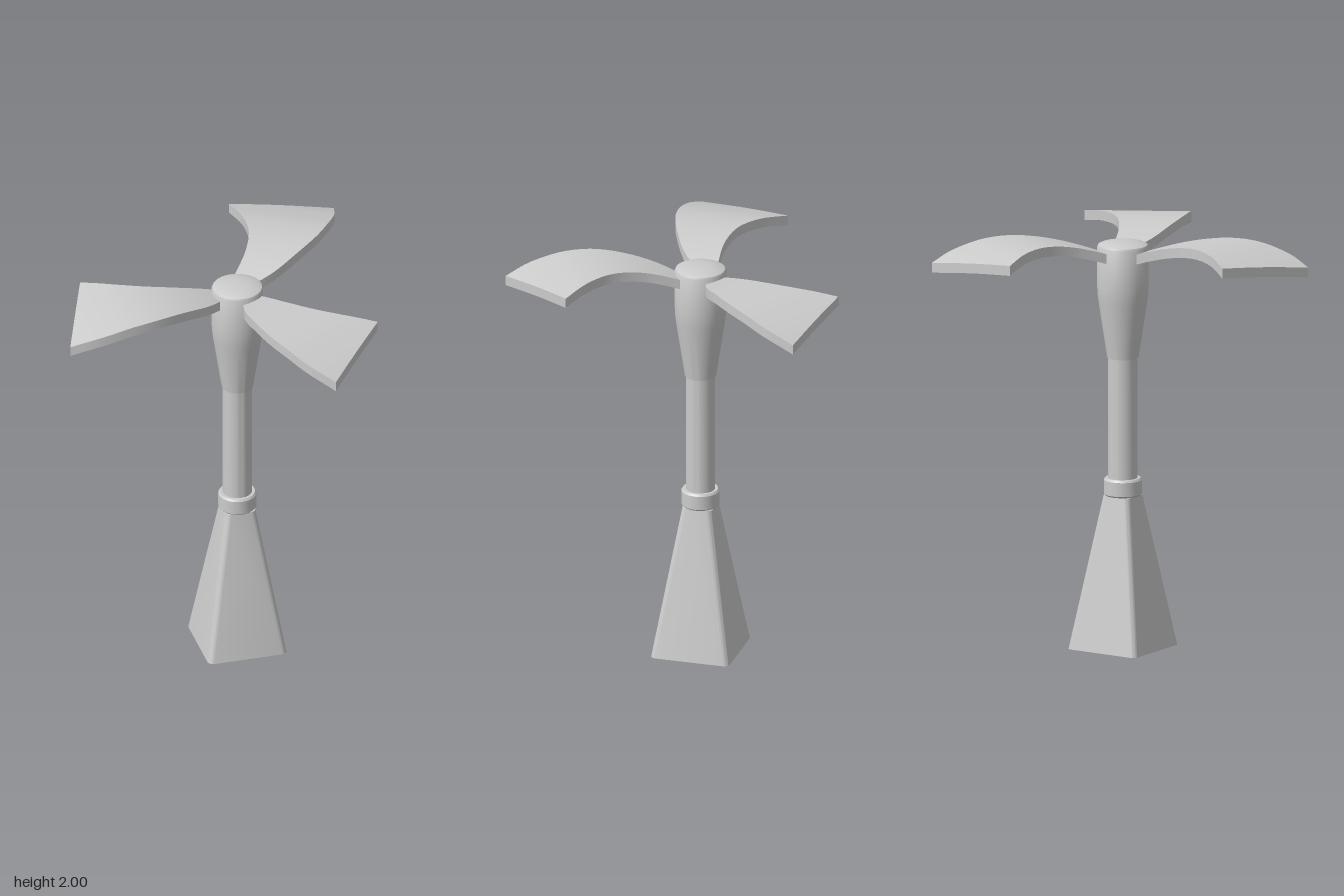
import * as THREE from 'three';
import { toCreasedNormals } from 'three/addons/utils/BufferGeometryUtils.js';

const material = new THREE.MeshStandardMaterial({ color: 0xcccccc });

function addMesh(parent, name, geometry) {
  const mesh = new THREE.Mesh(geometry, material);
  mesh.name = name;
  parent.add(mesh);
  return mesh;
}

// Turned part from [radius, height] pairs, bottom to top
function turned(profile) {
  const points = profile.map(([r, y]) => new THREE.Vector2(r, y));
  return toCreasedNormals(new THREE.LatheGeometry(points, 48), 0.5);
}

// Square tapering pedestal with rounded vertical corners
function pedestal(bottomHalf, topHalf, height, r) {
  const c = bottomHalf - r;
  const shape = new THREE.Shape();
  shape.absarc(c, c, r, 0, Math.PI / 2);
  shape.absarc(-c, c, r, Math.PI / 2, Math.PI);
  shape.absarc(-c, -c, r, Math.PI, Math.PI * 1.5);
  shape.absarc(c, -c, r, Math.PI * 1.5, Math.PI * 2);
  const geometry = new THREE.ExtrudeGeometry(shape, { depth: height, bevelEnabled: false, curveSegments: 6 });
  geometry.rotateX(-Math.PI / 2);
  const p = geometry.attributes.position;
  for (let i = 0; i < p.count; i++) {
    const inset = (bottomHalf - topHalf) * p.getY(i) / height;
    p.setX(i, p.getX(i) - Math.sign(p.getX(i)) * inset);
    p.setZ(i, p.getZ(i) - Math.sign(p.getZ(i)) * inset);
  }
  return toCreasedNormals(geometry, 0.5);
}

const curve = (pts) => new THREE.CatmullRomCurve3(pts.map(([u, w]) => new THREE.Vector3(u, w, 0)));

// Blade edges as [distance out, sideways], and the arch as [distance out, height]
const innerEdge = curve([[0.05, -0.06], [0.15, -0.046], [0.285, -0.035], [0.435, -0.055], [0.565, -0.115], [0.715, -0.225]]);
const outerEdge = curve([[0.05, 0], [0.095, 0.055], [0.185, 0.135], [0.315, 0.205], [0.475, 0.265],
  [0.625, 0.285], [0.765, 0.28], [0.895, 0.245]]);
const archPoints = curve([[0.04, 1.905], [0.12, 1.935], [0.25, 1.972], [0.36, 1.992], [0.47, 2.0], [0.6, 1.992],
  [0.715, 1.968], [0.8, 1.945], [0.895, 1.91]]).getPoints(80);

function archHeight(u) {
  const i = Math.max(1, archPoints.findIndex((p) => p.x >= u - 1e-6));
  const a = archPoints[i - 1], b = archPoints[i];
  return THREE.MathUtils.mapLinear(u, a.x, b.x, a.y, b.y);
}

// Curved blade pointing to -x; side = -1 sweeps it the other way
function blade(side) {
  const thickness = 0.048;
  const geometry = new THREE.BoxGeometry(1, 1, 1, 28, 1, 10);
  const p = geometry.attributes.position;
  for (let i = 0; i < p.count; i++) {
    const t = 0.5 - p.getX(i);
    const s = 0.5 + side * p.getZ(i);
    const q = innerEdge.getPoint(t).lerp(outerEdge.getPoint(t), s);
    const y = archHeight(q.x) - (0.5 - p.getY(i)) * thickness;
    p.setXYZ(i, -q.x, y, side * q.y);
  }
  geometry.computeVertexNormals();
  return geometry;
}

export function createModel() {
  const model = new THREE.Group();
  model.name = 'windTurbine';
  const body = new THREE.Group();
  body.name = 'turbine';
  body.position.set(0.115, 0, -0.085);
  model.add(body);

  addMesh(body, 'pedestal', pedestal(0.195, 0.075, 0.74, 0.03));
  addMesh(body, 'post', turned([[0, 0.72], [0.07, 0.72], [0.07, 1.42], [0, 1.42]]));
  addMesh(body, 'collar', turned([[0, 0.74], [0.084, 0.74], [0.091, 0.747], [0.091, 0.815], [0.084, 0.825], [0, 0.825]]));
  addMesh(body, 'hub', turned([[0, 1.41], [0.075, 1.41], [0.116, 1.68], [0.121, 1.72], [0.123, 1.76], [0.123, 1.95],
    [0.118, 1.96], [0.105, 1.966], [0.06, 1.974], [0, 1.977]]));

  // Three blades, one swept opposite to the other two
  [[1, 0], [-1, -1], [-1, 1]].forEach(([side, turn]) => {
    addMesh(body, 'blade', blade(side)).rotation.y = turn * Math.PI * 2 / 3;
  });
  return model;
}
